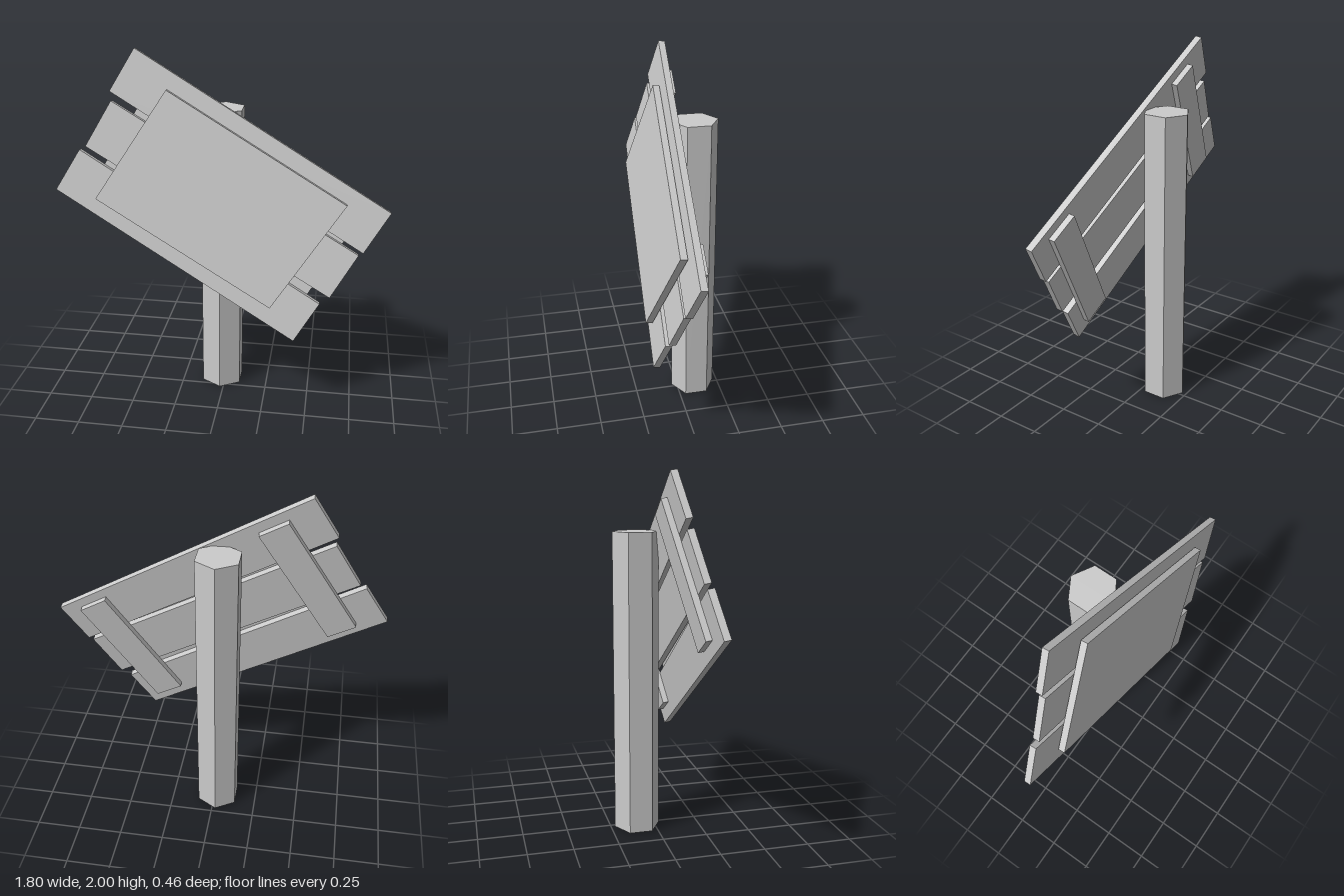
import * as THREE from 'three';

const material = new THREE.MeshStandardMaterial({ color: 0xcccccc, flatShading: true });

function addMesh(parent, name, geometry) {
  const mesh = new THREE.Mesh(geometry, material);
  mesh.name = name;
  parent.add(mesh);
  return mesh;
}

// Board frame: x runs along the planks, y up across them, z out of the front face.
// The origin is the upper left front corner of the top plank.
function makeBoardFrame() {
  const board = new THREE.Group();
  board.name = 'board';
  const normal = new THREE.Vector3(0.035, 0.16, 1).normalize();
  const along = new THREE.Vector3(1.37, -0.8, 0.08);
  const up = new THREE.Vector3().crossVectors(normal, along).normalize();
  along.crossVectors(up, normal);
  board.quaternion.setFromRotationMatrix(new THREE.Matrix4().makeBasis(along, up, normal));
  board.position.set(-0.47, 2.0, 0.005);
  return board;
}

// Box given by its extents along the board, down the board and in depth
function addSlab(board, name, [s0, s1], [t0, t1], [z0, z1], turn = 0) {
  const mesh = addMesh(board, name, new THREE.BoxGeometry(s1 - s0, t1 - t0, z1 - z0));
  mesh.position.set((s0 + s1) / 2, -(t0 + t1) / 2, (z0 + z1) / 2);
  mesh.rotation.z = turn;
}

export function createModel() {
  const model = new THREE.Group();
  model.name = 'signpost';

  // Six-sided post
  const post = addMesh(model, 'post', new THREE.CylinderGeometry(0.128, 0.128, 1.68, 6));
  post.position.set(-0.02, 0.84, -0.098);

  const board = makeBoardFrame();
  model.add(board);

  // Three planks, each nailed on slightly askew
  const depth = [-0.037, 0];
  addSlab(board, 'topPlank', [0, 1.592], [0.003, 0.264], depth, -0.004);
  addSlab(board, 'middlePlank', [0.032, 1.579], [0.295, 0.578], depth, 0.007);
  addSlab(board, 'bottomPlank', [0.013, 1.553], [0.624, 0.883], depth, -0.01);

  // Two battens holding the planks together at the back
  for (const [name, s] of [['rightBatten', 0.165], ['leftBatten', 1.305]]) {
    addSlab(board, name, [s, s + 0.17], [0.055, 0.815], [-0.07, -0.035]);
  }

  // Slightly skewed panel on the front
  const outline = new THREE.Shape([
    [0.227, -0.79], [1.337, -0.79], [1.373, -0.092], [0.257, -0.09],
  ].map(([x, y]) => new THREE.Vector2(x, y)));
  const panel = new THREE.ExtrudeGeometry(outline, { depth: 0.037, bevelEnabled: false });
  addMesh(board, 'frontPanel', panel).position.z = 0.004;

  return model;
}
